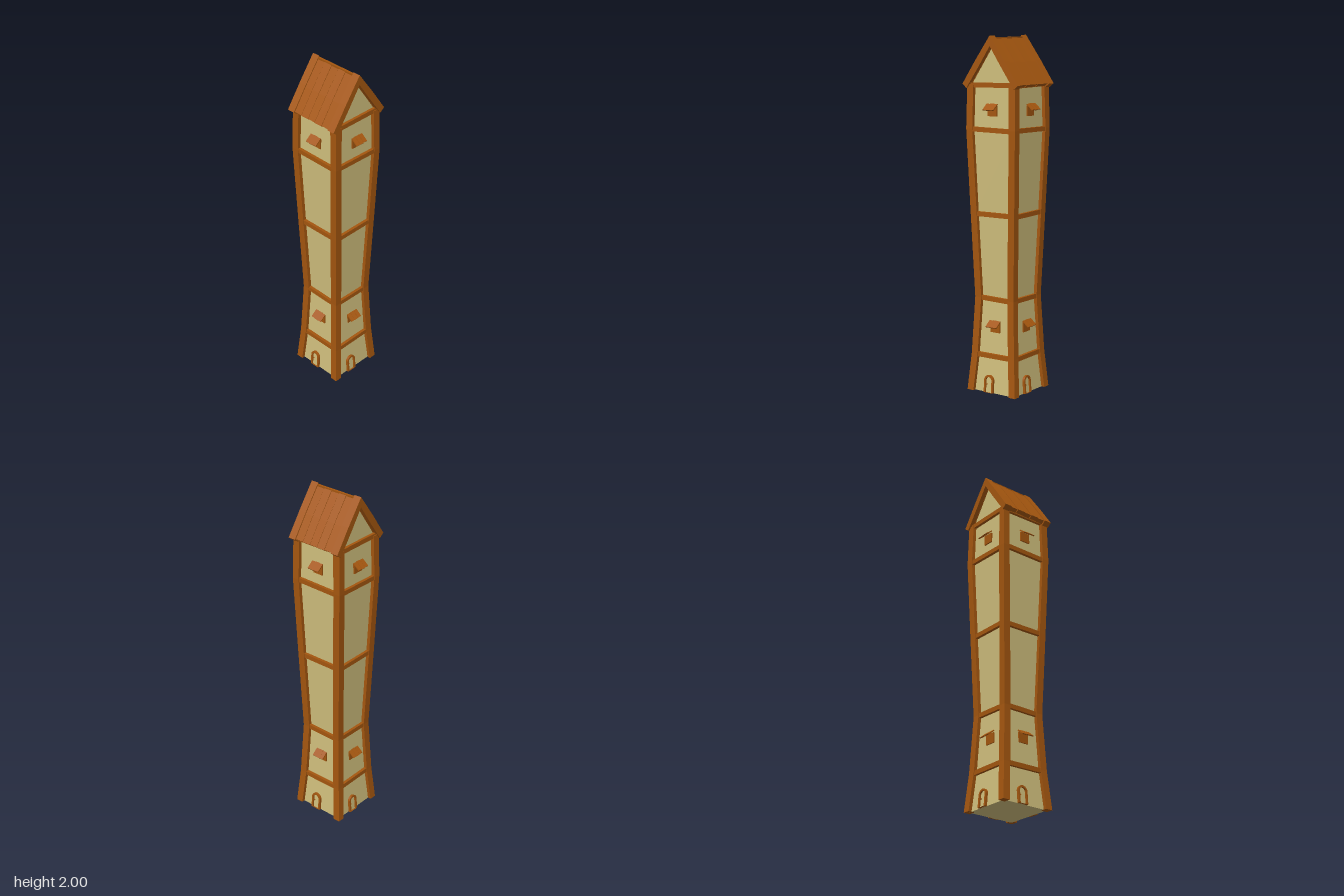
import * as THREE from 'three';

const wood = new THREE.MeshStandardMaterial({ color: 0xa4560f, flatShading: true });
wood.name = 'brown wood';
const plaster = new THREE.MeshStandardMaterial({ color: 0xcfbe7c, flatShading: true });
plaster.name = 'cream plaster';

// Floor levels and the half width of the timber frame at each
const levels = [0, 0.215, 0.54, 1.02, 1.49, 1.735];
const halves = [0.166, 0.148, 0.133, 0.15, 0.166, 0.161];
const INSET = 0.02;

function add(parent, name, geometry, material, x = 0, y = 0, z = 0) {
  const mesh = new THREE.Mesh(geometry, material);
  mesh.name = name;
  mesh.position.set(x, y, z);
  parent.add(mesh);
  return mesh;
}

// Half width of the frame at any height
function halfAt(y) {
  let i = 0;
  while (i < levels.length - 2 && y > levels[i + 1]) i++;
  const t = (y - levels[i]) / (levels[i + 1] - levels[i]);
  return THREE.MathUtils.lerp(halves[i], halves[i + 1], t);
}

// Square corner post that follows the bends of the tower
function postGeometry() {
  const s = 0.042;
  const g = new THREE.BoxGeometry(s, 1, s, 1, levels.length - 1, 1);
  const p = g.attributes.position;
  for (let i = 0; i < p.count; i++) {
    const k = Math.round((p.getY(i) + 0.5) * (levels.length - 1));
    const c = halves[k] - s / 2;
    p.setXYZ(i, p.getX(i) + c, levels[k], p.getZ(i) + c);
  }
  g.computeVertexNormals();
  return g;
}

function extrude(points, depth) {
  const shape = new THREE.Shape(points.map(([x, y]) => new THREE.Vector2(x, y)));
  const g = new THREE.ExtrudeGeometry(shape, { depth, bevelEnabled: false });
  return g.translate(0, 0, -depth / 2);
}

// Outline with a round top, base at y = 0
function arch(path, r, straight) {
  path.moveTo(-r, 0);
  path.lineTo(r, 0);
  path.lineTo(r, straight);
  path.absarc(0, straight, r, 0, Math.PI, false);
  path.lineTo(-r, 0);
  return path;
}

function makeDoor() {
  const door = new THREE.Group();
  door.name = 'door';
  const frame = arch(new THREE.Shape(), 0.031, 0.07);
  frame.holes.push(arch(new THREE.Path(), 0.02, 0.07));
  const opts = { depth: 0.014, bevelEnabled: false, curveSegments: 8 };
  add(door, 'doorFrame', new THREE.ExtrudeGeometry(frame, opts), wood);
  const panel = arch(new THREE.Shape(), 0.021, 0.07);
  add(door, 'doorPanel', new THREE.ExtrudeGeometry(panel, { ...opts, depth: 0.005 }), plaster);
  add(door, 'doorKnob', new THREE.SphereGeometry(0.004, 6, 4), wood, -0.013, 0.048, 0.008);
  return door;
}

function makeWindow() {
  const win = new THREE.Group();
  win.name = 'window';
  add(win, 'shutter', new THREE.BoxGeometry(0.062, 0.058, 0.012), wood, 0.003, -0.006, 0.002);
  // Sloping awning of three small planks
  const awning = new THREE.Group();
  awning.name = 'awning';
  awning.position.set(0.002, 0.016, 0.026);
  awning.rotation.x = 0.68;
  [-1, 0, 1].forEach((i) => {
    add(awning, 'awningPlank', new THREE.BoxGeometry(0.0245, 0.006, 0.052 - Math.abs(i) * 0.003),
      wood, i * 0.0252, i * 0.001, 0);
  });
  win.add(awning);
  return win;
}

export function createModel() {
  const tower = new THREE.Group();
  tower.name = 'tower';

  // Plaster walls, one tapered storey at a time
  for (let i = 0; i < levels.length - 1; i++) {
    const h = levels[i + 1] - levels[i];
    const g = new THREE.CylinderGeometry((halves[i + 1] - INSET) * Math.SQRT2,
      (halves[i] - INSET) * Math.SQRT2, h, 4, 1);
    g.rotateY(Math.PI / 4);
    add(tower, 'wall', g, plaster, 0, levels[i] + h / 2, 0);
  }

  // Each side has a post, cross beams, two windows and a door
  const post = postGeometry();
  for (let s = 0; s < 4; s++) {
    const side = new THREE.Group();
    side.name = 'side';
    side.rotation.y = s * Math.PI / 2;
    tower.add(side);
    add(side, 'cornerPost', post, wood);
    for (let i = 1; i < levels.length; i++) {
      const beam = add(side, 'crossBeam', new THREE.BoxGeometry(halves[i] * 2 - 0.04, 0.026, 0.03),
        wood, 0, levels[i] - 0.003, halves[i] - 0.018);
      beam.rotation.z = (i % 2 ? 1 : -1) * 0.012;
    }
    for (const y of [0.383, 1.598]) {
      const win = makeWindow();
      win.position.set(0, y, halfAt(y) - INSET);
      side.add(win);
    }
    const door = makeDoor();
    door.position.set(-0.025, 0, halves[0] - INSET);
    door.rotation.x = -Math.atan((halves[0] - halves[1]) / levels[1]);
    side.add(door);
  }

  // Gable walls under the roof
  add(tower, 'gable', extrude([[-0.142, 1.73], [0.142, 1.73], [0, 1.965]], 0.284), plaster);

  const roof = new THREE.Group();
  roof.name = 'roof';
  tower.add(roof);

  // Heavy end boards at the front and back
  const verge = [[0, 2], [-0.1, 1.863], [-0.188, 1.735], [-0.16, 1.713], [-0.075, 1.833],
    [0, 1.943], [0.075, 1.833], [0.16, 1.713], [0.188, 1.735], [0.1, 1.863]];
  for (const z of [-0.1475, 0.1475]) add(roof, 'endBoard', extrude(verge, 0.045), wood, 0, 0, z);

  // Uneven roof planks on both slopes
  const reach = [0.18, 0.184, 0.181, 0.183, 0.18];
  for (const m of [-1, 1]) {
    reach.forEach((r, i) => {
      const end = m > 0 ? r : reach[4 - i];
      const lift = (i % 2) * 0.003;
      const pts = [[0.008, 1.982 + lift], [0.1, 1.855 + lift], [end, 1.736],
        [end - 0.02, 1.722], [0.09, 1.83], [0.008, 1.95]];
      const plank = add(roof, 'roofPlank', extrude(pts.map(([x, y]) => [x * m, y]), 0.0485),
        wood, 0, 0, (i - 2) * 0.05);
      plank.rotation.y = (i % 2 ? 1 : -1) * 0.006;
    });
  }
  // Ridge beam and a base layer closing the gaps
  add(roof, 'ridgeBeam', new THREE.BoxGeometry(0.014, 0.045, 0.25), wood, 0, 1.968, 0);
  add(roof, 'roofBase', extrude([[0, 1.965], [-0.158, 1.735], [-0.148, 1.725], [0, 1.94],
    [0.148, 1.725], [0.158, 1.735]], 0.29), wood);

  return tower;
}
